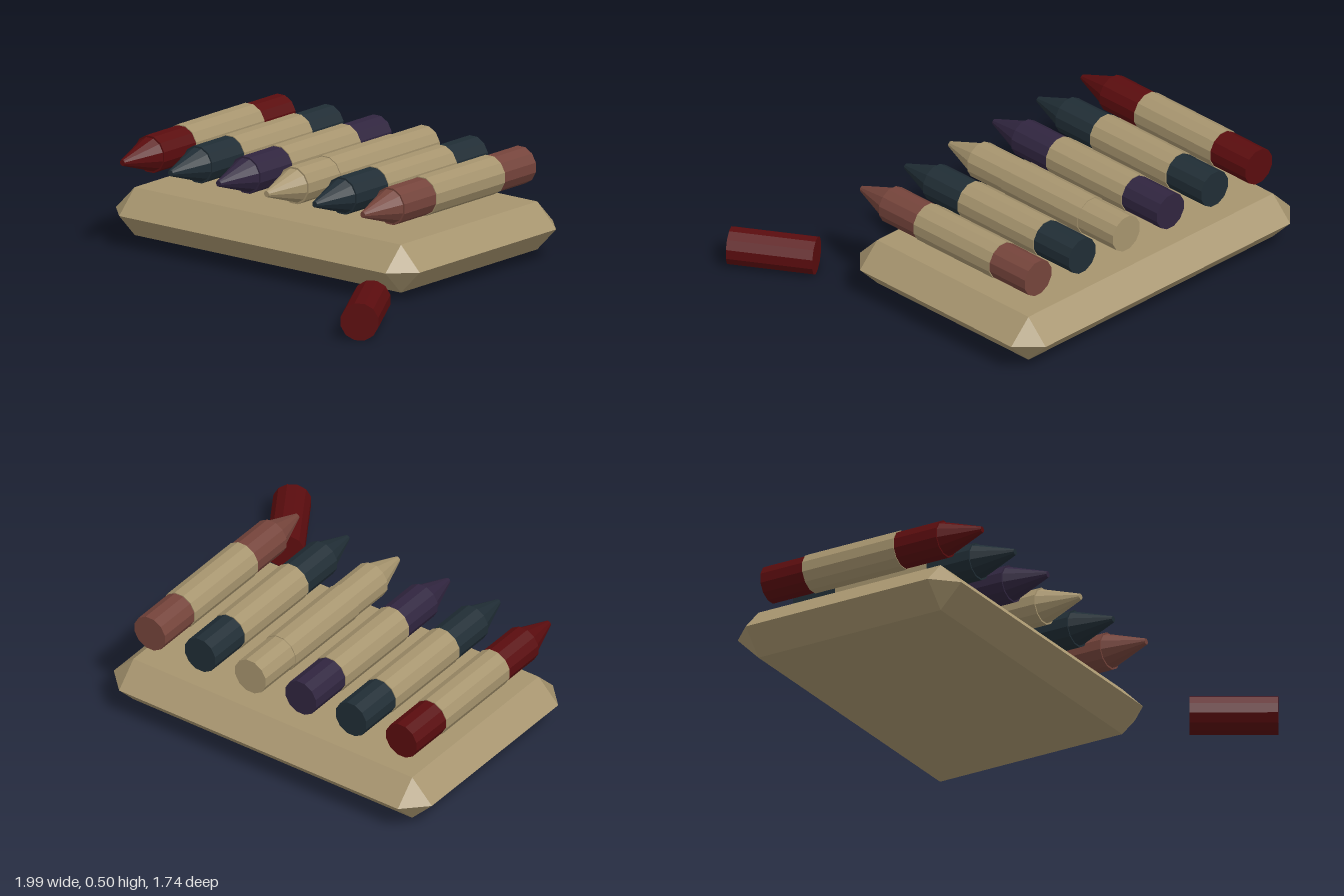
import * as THREE from 'three';
import { ConvexGeometry } from 'three/addons/geometries/ConvexGeometry.js';

const SIDES = 12;

function paint(name, color) {
  const m = new THREE.MeshStandardMaterial({ color, flatShading: true });
  m.name = name;
  return m;
}

// Cylinder or cone section lying along z, from z0 to z1
function section(name, z0, z1, r0, r1, material) {
  const g = new THREE.CylinderGeometry(r1, r0, z1 - z0, SIDES, 1);
  g.rotateY(Math.PI / SIDES);
  g.rotateX(Math.PI / 2);
  g.translate(0, 0, (z0 + z1) / 2);
  const mesh = new THREE.Mesh(g, material);
  mesh.name = name;
  return mesh;
}

// Slab with wide chamfers meeting at mid-height and triangular corners
function slabGeometry(x0, x1, z0, z1, y0, y1, bevel) {
  const points = [];
  const mid = (y0 + y1) / 2;
  for (const [x, sx] of [[x0, 1], [x1, -1]]) {
    for (const [z, sz] of [[z0, 1], [z1, -1]]) {
      const xi = x + sx * bevel, zi = z + sz * bevel;
      points.push(
        new THREE.Vector3(xi, y1, zi),
        new THREE.Vector3(xi, y0, zi),
        new THREE.Vector3(x, mid, zi),
        new THREE.Vector3(xi, mid, z)
      );
    }
  }
  return new ConvexGeometry(points);
}

export function createModel() {
  const model = new THREE.Group();
  model.name = 'crayonSet';

  const beige = paint('beige paper', 0xa6946e);
  const red = paint('dark red wax', 0x5a0c0e);
  const teal = paint('dark teal wax', 0x202d35);
  const purple = paint('dark purple wax', 0x30253f);
  const brown = paint('reddish brown wax', 0x75443b);

  // Tray
  const tray = new THREE.Mesh(slabGeometry(-1, 0.745, -0.875, 0.29, 0.04, 0.26, 0.108), beige);
  tray.name = 'tray';
  model.add(tray);

  // Row of wrapped crayons
  [red, teal, purple, beige, teal, brown].forEach((wax, i) => {
    const crayon = new THREE.Group();
    crayon.name = `crayon${i + 1}`;
    crayon.add(
      section('crayonEnd', -0.75, -0.53, 0.086, 0.086, wax),
      section('wrapper', -0.53, -0.055, 0.09, 0.09, beige),
      section('crayonShoulder', -0.055, 0.165, 0.086, 0.086, wax),
      section('crayonTip', 0.165, 0.355, 0.078, 0.014, wax)
    );
    crayon.position.set(-0.82 + i * 0.276, 0.42, 0);
    model.add(crayon);
  });

  // Loose stub lying on the ground
  const stub = section('looseStub', -0.197, 0.197, 0.087, 0.087, red);
  stub.position.set(0.82, 0.088, 0.65);
  stub.rotation.y = Math.atan2(0.525, 0.851);
  model.add(stub);

  return model;
}
